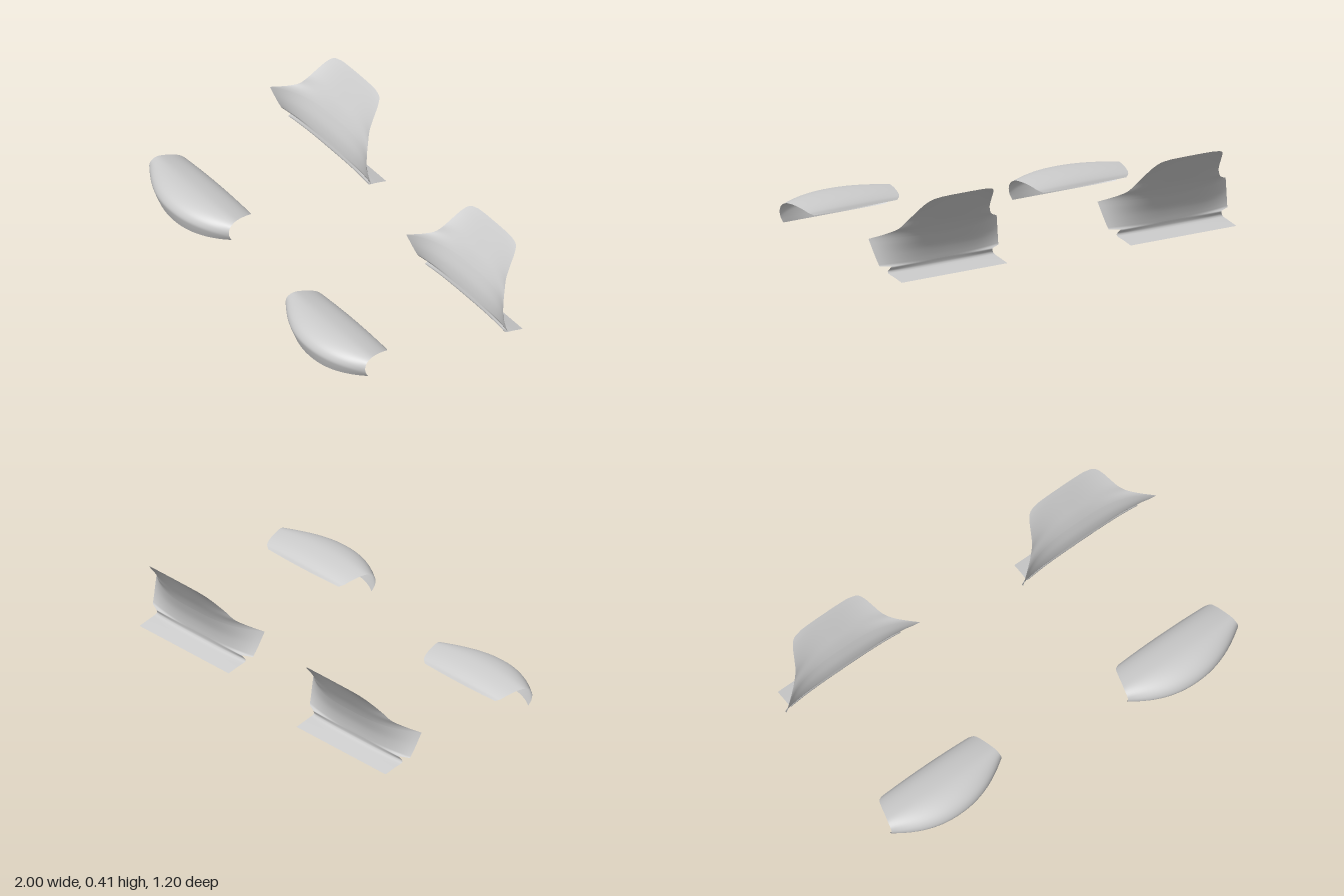
import * as THREE from 'three';

const material = new THREE.MeshStandardMaterial({ color: 0xcccccc, side: THREE.DoubleSide });
const COLUMNS = 36;

// Smooth rows through a section table; each entry is
// [centre y, centre z, edge half width, edge y, edge z].
function smoothRows(table, steps) {
  const centre = new THREE.CatmullRomCurve3(table.map(r => new THREE.Vector3(0, r[0], r[1])));
  const edge = new THREE.CatmullRomCurve3(table.map(r => new THREE.Vector3(r[2], r[3], r[4])));
  const rows = [];
  for (let i = 0; i <= steps; i++) {
    rows.push({ c: centre.getPoint(i / steps), e: edge.getPoint(i / steps) });
  }
  return rows;
}

// Mirrored sheet: each row bends from its centre point to its edge point.
function sheet(rows, power) {
  const pos = [], index = [], n = COLUMNS + 1;
  rows.forEach(({ c, e }, r) => {
    for (let i = 0; i < n; i++) {
      const u = (i / COLUMNS) * 2 - 1;
      const t = Math.pow(Math.abs(u), power);
      pos.push(u * e.x, c.y + (e.y - c.y) * t, c.z + (e.z - c.z) * t);
      if (r < rows.length - 1 && i < COLUMNS) {
        const a = r * n + i, b = a + n;
        index.push(a, b, a + 1, b, b + 1, a + 1);
      }
    }
  });
  const g = new THREE.BufferGeometry();
  g.setAttribute('position', new THREE.Float32BufferAttribute(pos, 3));
  g.setIndex(index);
  g.computeVertexNormals();
  return g;
}

// Tall upper back, flaring out into the wings
const upperBack = [
  [0.396, -0.478, 0.13, 0.394, -0.476],
  [0.388, -0.472, 0.178, 0.384, -0.465],
  [0.370, -0.459, 0.201, 0.362, -0.442],
  [0.330, -0.432, 0.222, 0.320, -0.402],
  [0.285, -0.403, 0.243, 0.275, -0.363],
  [0.245, -0.378, 0.270, 0.238, -0.335],
  [0.215, -0.362, 0.310, 0.215, -0.300],
  [0.190, -0.350, 0.3775, 0.190, -0.247],
];
// Side wings tapering down to the notch
const wings = [
  [0.190, -0.350, 0.3775, 0.190, -0.247],
  [0.130, -0.328, 0.366, 0.133, -0.267],
  [0.090, -0.320, 0.357, 0.092, -0.282],
  [0.060, -0.317, 0.350, 0.064, -0.294],
];
// Lower lip folding backwards
const lip = [
  [0.060, -0.317, 0.298, 0.060, -0.317],
  [0.034, -0.316, 0.311, 0.034, -0.304],
  [0.018, -0.358, 0.311, 0.018, -0.354],
  [0.003, -0.408, 0.311, 0.003, -0.408],
];
// Front shell, from its rear edge over the top and down the rounded nose
const frontShell = [
  [0.122, 0.180, 0.245, 0.122, 0.186],
  [0.139, 0.192, 0.268, 0.135, 0.200],
  [0.160, 0.225, 0.281, 0.150, 0.232],
  [0.176, 0.280, 0.294, 0.162, 0.280],
  [0.182, 0.340, 0.304, 0.164, 0.318],
  [0.172, 0.400, 0.309, 0.150, 0.345],
  [0.148, 0.445, 0.311, 0.127, 0.355],
  [0.115, 0.463, 0.311, 0.106, 0.353],
  [0.085, 0.457, 0.310, 0.089, 0.346],
  [0.038, 0.440, 0.305, 0.070, 0.335],
];

export function createModel() {
  const model = new THREE.Group();
  const backGeometry = sheet([
    ...smoothRows(upperBack, 28),
    ...smoothRows(wings, 10).slice(1),
    ...smoothRows(lip, 10),
  ], 3);
  const shellGeometry = sheet(smoothRows(frontShell, 36), 2.1);

  // Two sets side by side, slightly staggered in height and depth
  const sets = [
    { name: 'leftSet', x: 0.6225, back: [0, 0], shell: [0.055, 0.13] },
    { name: 'rightSet', x: -0.6225, back: [0.014, -0.129], shell: [0, 0] },
  ];
  for (const s of sets) {
    const group = new THREE.Group();
    group.name = s.name;
    group.position.x = s.x;
    const back = new THREE.Mesh(backGeometry, material);
    back.name = 'wingedBack';
    back.position.set(0, s.back[0], s.back[1]);
    const shell = new THREE.Mesh(shellGeometry, material);
    shell.name = 'frontShell';
    shell.position.set(0, s.shell[0], s.shell[1]);
    group.add(back, shell);
    model.add(group);
  }
  return model;
}
